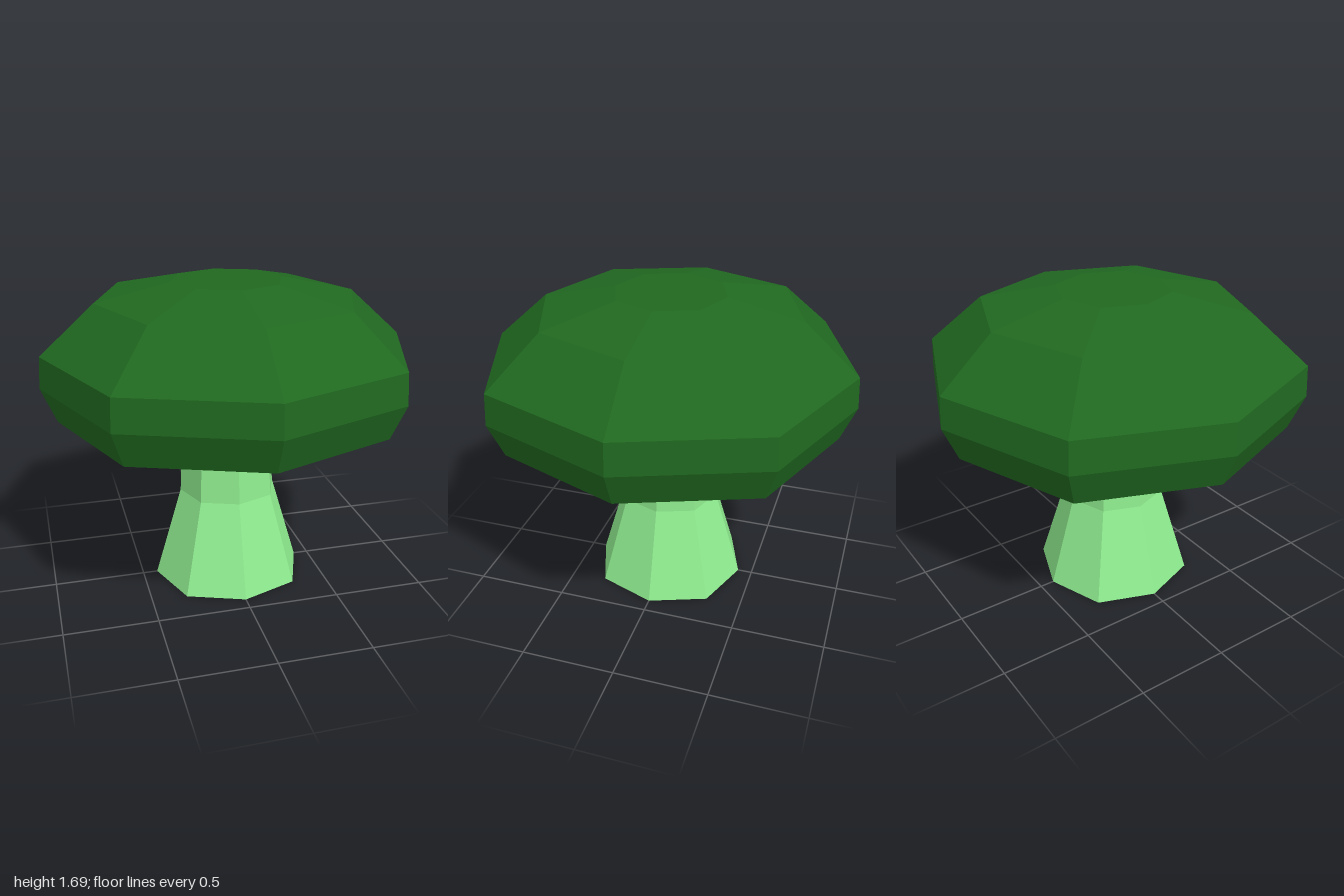
import * as THREE from 'three';

// Faceted eight-sided solid of revolution; corners between the axes sit slightly further out.
function facetedLathe(name, profile, color, cornerScale) {
  const points = profile.map(([r, y]) => new THREE.Vector2(r, y));
  const indexed = new THREE.LatheGeometry(points, 8);
  const pos = indexed.attributes.position;
  for (let i = 0; i < pos.count; i++) {
    const segment = Math.floor(i / points.length);
    const s = segment % 2 ? cornerScale : 1;
    pos.setXYZ(i, pos.getX(i) * s, pos.getY(i), pos.getZ(i) * s);
  }
  const geometry = indexed.toNonIndexed();
  geometry.computeVertexNormals();
  const material = new THREE.MeshStandardMaterial({ color, flatShading: true });
  const mesh = new THREE.Mesh(geometry, material);
  mesh.name = name;
  return mesh;
}

export function createModel() {
  const group = new THREE.Group();
  group.name = 'mushroom';

  // Stem: flared foot, narrowing to the collar under the cap
  group.add(facetedLathe('stem', [
    [0, 0], [0.42, 0], [0.27, 0.51], [0.25, 1.0],
  ], 0x90ee90, 1.035));

  // Cap: collar, hollowed underside, rim, dome and flat crown
  group.add(facetedLathe('cap', [
    [0.25, 1.0], [0.31, 1.07], [0.7, 0.99], [0.92, 0.98],
    [1.0, 1.17], [0.99, 1.34], [0.7, 1.6], [0.3, 1.69], [0, 1.69],
  ], 0x206820, 1.025));

  return group;
}
